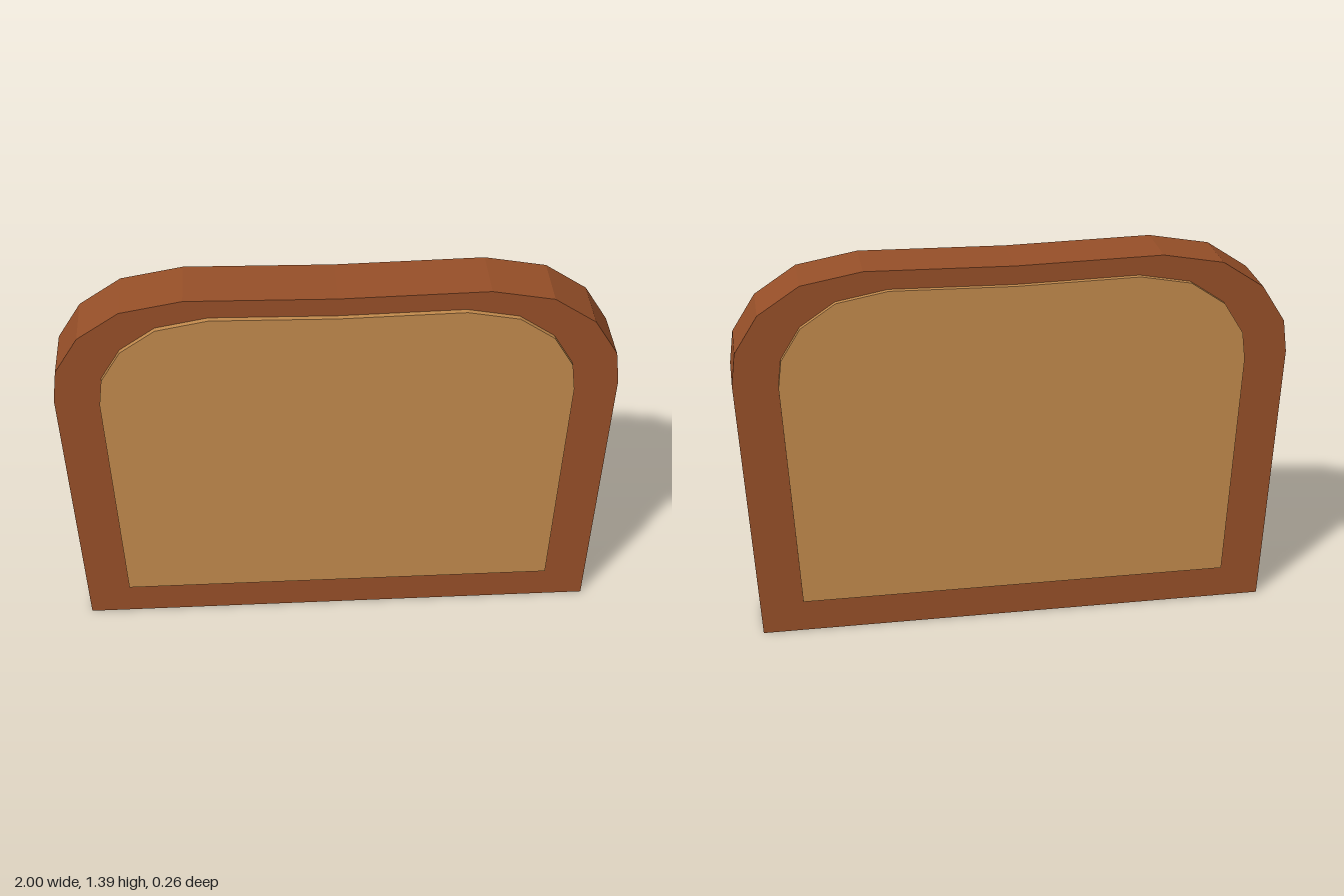
import * as THREE from 'three';

// Right half of the slice outline, bottom to top
const HALF = [[0.945, 0], [1, 1], [0.985, 1.12], [0.9, 1.255], [0.75, 1.355], [0.53, 1.395]];
const TOP_DIP = [0, 1.385];

// Closed, mirrored outline, scaled and raised, extruded evenly about z = 0
function slab(scaleX, scaleY, lift, depth) {
  const mirrored = HALF.map(([x, y]) => [-x, y]).reverse();
  const points = [...HALF, TOP_DIP, ...mirrored]
    .map(([x, y]) => new THREE.Vector2(x * scaleX, y * scaleY + lift));
  const geometry = new THREE.ExtrudeGeometry(new THREE.Shape(points), { depth, bevelEnabled: false });
  return geometry.translate(0, 0, -depth / 2);
}

export function createModel() {
  const group = new THREE.Group();
  group.name = 'breadSlice';

  const crustBrown = new THREE.MeshStandardMaterial({ color: 0x964f28, flatShading: true });
  crustBrown.name = 'crust brown';
  const crumbTan = new THREE.MeshStandardMaterial({ color: 0xc1894c, flatShading: true });
  crumbTan.name = 'crumb tan';

  // Thick crust body
  const crust = new THREE.Mesh(slab(1, 1, 0, 0.224), crustBrown);
  crust.name = 'crust';

  // Smaller crumb slab, standing proud of the crust on both faces
  const crumb = new THREE.Mesh(slab(0.84, 0.857, 0.13, 0.264), crumbTan);
  crumb.name = 'crumb';

  group.add(crust, crumb);
  return group;
}
